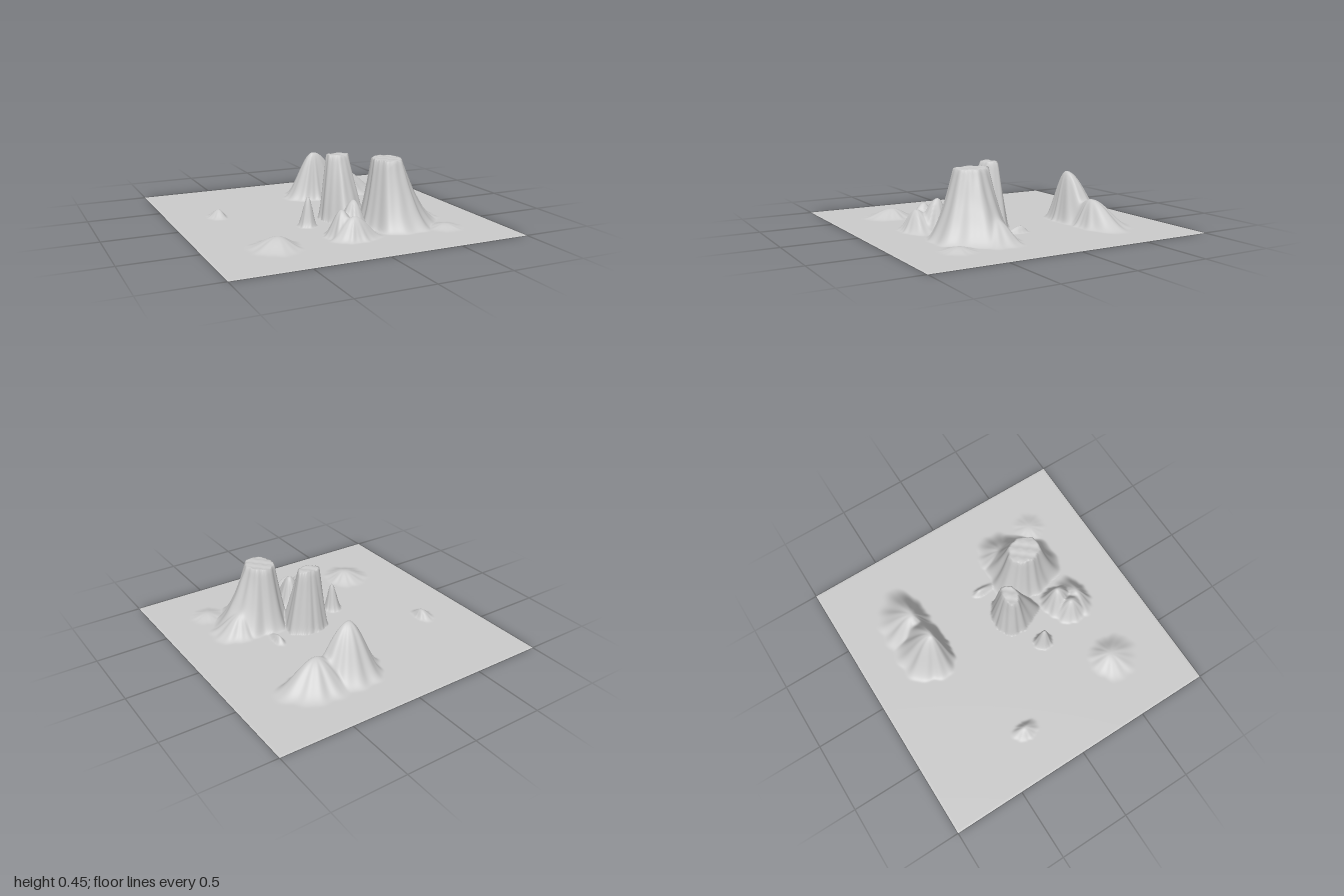
import * as THREE from 'three';

const CELLS = 240, GROUND = 0.002, CEILING = 0.447;

// Radius of a lopsided oval in a given direction, with gullies rippling its outline.
// reach = [east, south, west, north], where east is +x and south is +z.
function outline([east, south, west, north], angle, seed) {
  const c = Math.cos(angle), s = Math.sin(angle);
  const ripple = 1 + 0.035 * (Math.sin(angle * 7 + seed) + 0.6 * Math.sin(angle * 13 + seed * 2));
  return ripple / Math.hypot(c / (c > 0 ? east : west), s / (s > 0 ? south : north));
}

// Flat-topped mesa: level inside the rim, then falling to the foot
function mesa(cx, cz, power, rim, foot) {
  return (x, z) => {
    const d = Math.hypot(x - cx, z - cz), a = Math.atan2(z - cz, x - cx);
    const inner = outline(rim, a, cx * 20), outer = outline(foot, a, cx * 20);
    if (d >= outer) return 0;
    const roughness = 0.004 * (1 + Math.sin(x * 70) * Math.sin(z * 60));
    const fall = Math.max(0, (d - inner) / (outer - inner));
    return (CEILING - roughness) * (1 - fall) ** power;
  };
}

// Rounded hill with a bell-shaped profile
function hill(cx, cz, height, ...foot) {
  return (x, z) => {
    const d = Math.hypot(x - cx, z - cz), a = Math.atan2(z - cz, x - cx);
    const s = Math.min(1, d / outline(foot, a, cx * 20));
    return height * (0.5 + 0.5 * Math.cos(Math.PI * s));
  };
}

const landforms = [
  // large and small mesa
  mesa(0.32, 0.36, 1.6, [0.1, 0.12, 0.09, 0.11], [0.36, 0.32, 0.18, 0.23]),
  mesa(0.09, 0.09, 1.05, [0.08, 0.07, 0.08, 0.035], [0.17, 0.24, 0.13, 0.1]),
  // spurs around the large mesa
  hill(0.52, 0.3, 0.14, 0.23, 0.22, 0.2, 0.16),
  hill(0.63, 0.62, 0.025, 0.13, 0.13, 0.13, 0.13),
  hill(0.38, 0.03, 0.045, 0.04, 0.15, 0.04, 0.07),
  // back ridge: summit and eastern shoulder
  hill(0.17, -0.48, 0.345, 0.34, 0.12, 0.22, 0.28),
  hill(0.43, -0.5, 0.18, 0.32, 0.13, 0.25, 0.26),
  // cluster of crags
  hill(0.03, 0.46, 0.213, 0.11, 0.18, 0.16, 0.12),
  hill(-0.08, 0.51, 0.17, 0.13, 0.16, 0.12, 0.13),
  hill(-0.03, 0.59, 0.14, 0.2, 0.12, 0.17, 0.15),
  // lone spire
  hill(-0.18, 0.215, 0.2, 0.06, 0.07, 0.075, 0.08),
  // low mounds
  hill(-0.53, 0.55, 0.063, 0.15, 0.21, 0.21, 0.17),
  hill(-0.65, -0.25, 0.052, 0.055, 0.11, 0.09, 0.11),
];

// Soft maximum of all landforms
function terrainHeight(x, z) {
  const sum = landforms.reduce((total, form) => total + form(x, z) ** 8, 0);
  return Math.min(GROUND + sum ** (1 / 8), CEILING);
}

export function createModel() {
  const group = new THREE.Group();
  group.name = 'landscape';
  const material = new THREE.MeshStandardMaterial({ color: 0xcccccc });

  // Ground sheet raised into hills, its border brought down to the base
  const land = new THREE.PlaneGeometry(2, 2, CELLS, CELLS).rotateX(-Math.PI / 2);
  const p = land.attributes.position;
  for (let i = 0; i < p.count; i++) {
    const x = p.getX(i), z = p.getZ(i);
    const border = Math.max(Math.abs(x), Math.abs(z)) > 0.9999;
    p.setY(i, border ? 0 : terrainHeight(x, z));
  }
  land.computeVertexNormals();
  const terrain = new THREE.Mesh(land, material);
  terrain.name = 'terrain';

  // Flat underside
  const underside = new THREE.Mesh(new THREE.PlaneGeometry(2, 2).rotateX(Math.PI / 2), material);
  underside.name = 'underside';

  group.add(terrain, underside);
  return group;
}
